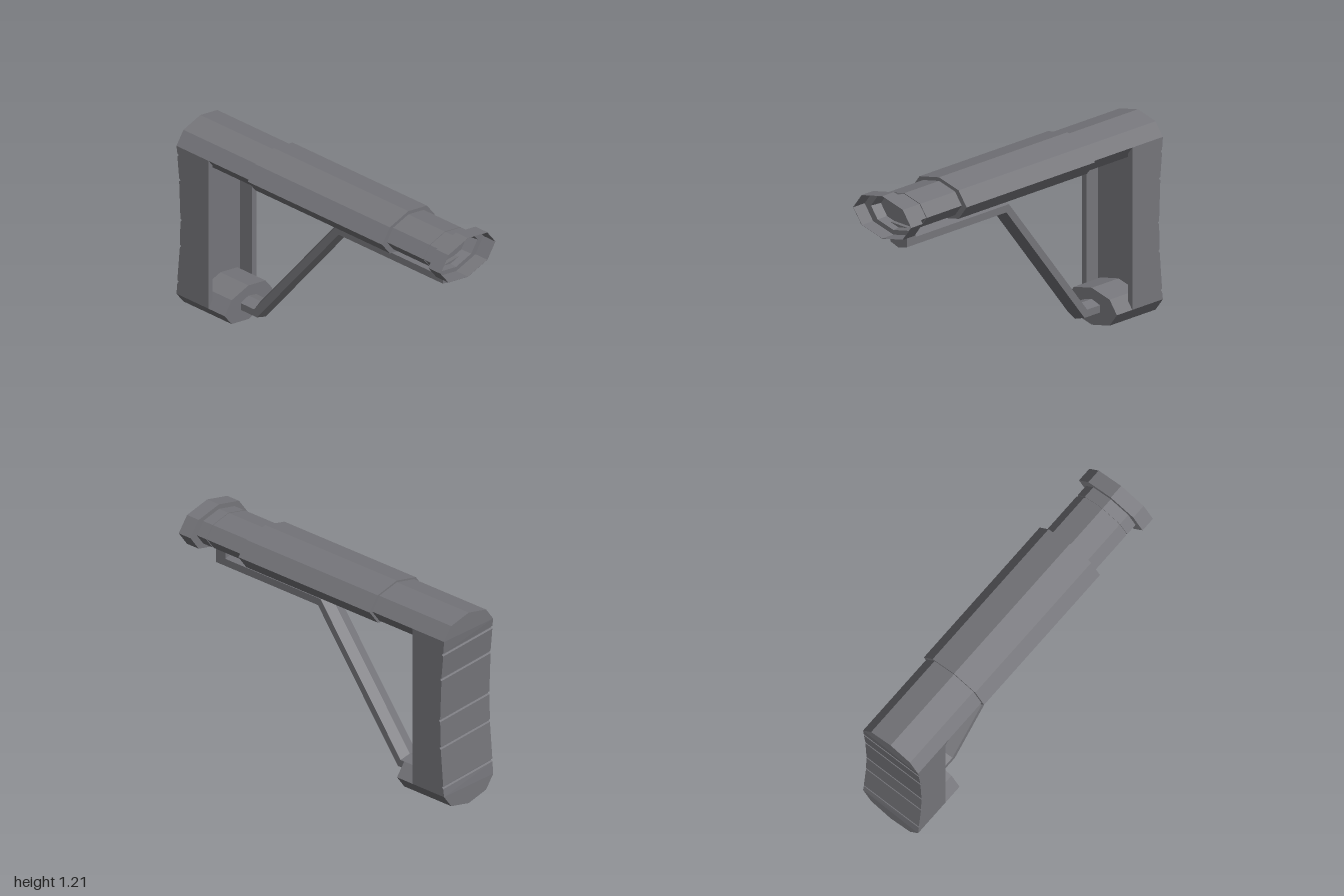
import * as THREE from 'three';

const V2 = (x, y) => new THREE.Vector2(x, y);

export function createModel() {
  const group = new THREE.Group();
  const grey = new THREE.MeshStandardMaterial({ color: 0x76767b, flatShading: true });
  grey.name = 'gunmetalGrey';

  const add = (name, geometry) => {
    const mesh = new THREE.Mesh(geometry, grey);
    mesh.name = name;
    group.add(mesh);
  };
  const box = (name, x0, x1, y0, y1, z0, z1) =>
    add(name, new THREE.BoxGeometry(x1 - x0, y1 - y0, z1 - z0)
      .translate((x0 + x1) / 2, (y0 + y1) / 2, (z0 + z1) / 2));
  // Eight-sided body along x, flattened vertically; profile is [x, radius]
  const octagon = (name, y, profile, sides = 8, start = 0) =>
    add(name, new THREE.LatheGeometry(profile.map(([x, r]) => V2(r, x)), sides, start, sides * Math.PI / 4)
      .rotateZ(-Math.PI / 2).scale(1, 0.55, 1).translate(0, y, 0));

  // Stepped tube ending in an open cup with a recessed floor
  const bottom = 0.11, top = 1.078;
  octagon('tube', top, [
    [-0.86, 0.2], [-0.45, 0.2], [-0.45, 0.219], [0.555, 0.219], [0.555, 0.18],
    [0.828, 0.18], [0.828, 0.174], [0.838, 0.174], [0.838, 0.18], [0.91, 0.18],
    [0.91, 0.231], [1, 0.231], [1, 0.228], [0.912, 0.228], [0.912, 0.178],
    [0.845, 0.167], [0.845, 0],
  ]);
  // Lower socket, with half-octagon ends closing the pad above and below
  octagon('lowerSocket', bottom, [[-0.86, 0.2], [-0.64, 0.2], [-0.64, 0]]);
  const cap = [[-1, 0], [-1, 0.2], [-0.86, 0.2]];
  octagon('padTop', top, cap, 4, Math.PI);
  octagon('padBottom', bottom, cap, 4, 0);

  // Shoulder pad: concave rear with slightly slanted grooves
  const rearX = (y) => -1 + 0.03 * Math.sin(Math.PI * (y - bottom) / (top - bottom));
  const points = [V2(-0.85, bottom), V2(-0.85, top), V2(-1, top)];
  for (const y of [1.008, 0.85, 0.59, 0.42, 0.18]) {
    points.push(V2(rearX(y), y + 0.009), V2(rearX(y) + 0.009, y + 0.003),
      V2(rearX(y) + 0.009, y - 0.003), V2(rearX(y), y - 0.009));
  }
  points.push(V2(-1, bottom));
  const pad = new THREE.ExtrudeGeometry(new THREE.Shape(points), { depth: 0.4, bevelEnabled: false })
    .translate(0, 0, -0.2);
  const pos = pad.attributes.position;
  for (let i = 0; i < pos.count; i++) {
    const y = pos.getY(i);
    if (pos.getX(i) < -0.9 && y > 0.12 && y < 1.05) pos.setY(i, y + 0.07 * pos.getZ(i));
  }
  add('shoulderPad', pad);

  // Side walls framing the recess in front of the pad
  box('leftPadWall', -0.85, -0.76, bottom, top, 0.165, 0.2);
  box('rightPadWall', -0.85, -0.76, bottom, top, -0.2, -0.165);

  // Bent brace: six-sided section swept with mitred corners; [x, y, mitre lean]
  const path = [[-0.7, 0.112, 0], [-0.53, 0.112, -0.47], [0.082, 0.905, -0.44], [0.87, 0.905, 0]];
  const section = [[0, 0.042], [0.065, 0.022], [0.065, -0.022], [0, -0.042], [-0.065, -0.022], [-0.065, 0.022]];
  const verts = [], index = [], n = section.length;
  for (const [x, y, lean] of path) {
    for (const [z, h] of section) verts.push(x + lean * h, y + h, z);
  }
  for (let r = 0; r < path.length - 1; r++) {
    for (let i = 0; i < n; i++) {
      const a = r * n + i, b = r * n + (i + 1) % n;
      index.push(a, b, a + n, b, b + n, a + n);
    }
  }
  // End faces
  const last = (path.length - 1) * n;
  for (let i = 1; i < n - 1; i++) {
    index.push(0, i + 1, i, last, last + i, last + i + 1);
  }
  const brace = new THREE.BufferGeometry();
  brace.setAttribute('position', new THREE.Float32BufferAttribute(verts, 3));
  brace.setIndex(index);
  brace.computeVertexNormals();
  add('brace', brace);

  // Upright joining the brace to the tube
  box('braceUpright', 0.8, 0.87, 0.9, 1.0, -0.065, 0.065);

  return group;
}
